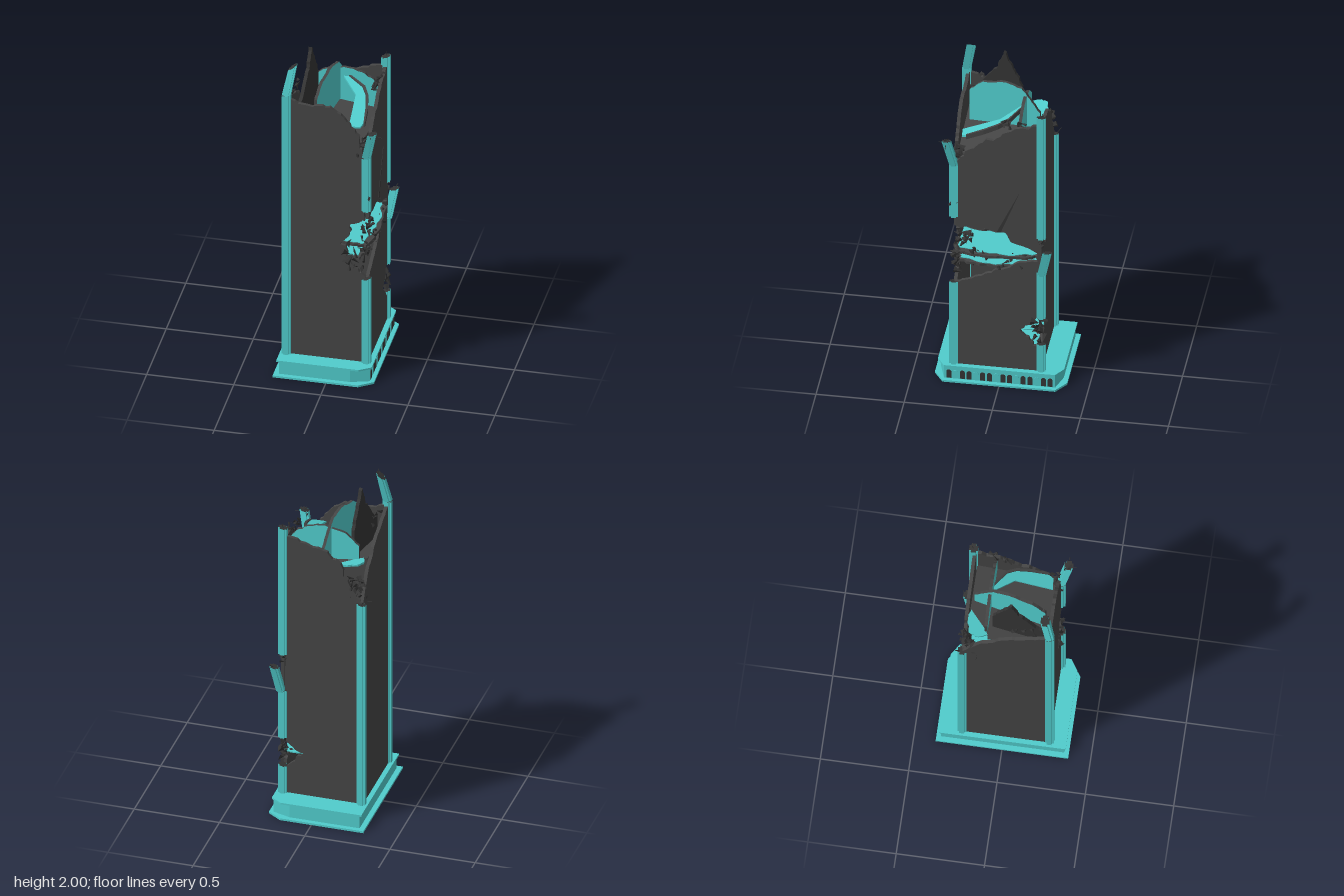
import * as THREE from 'three';

const mat = (name, color) => {
  const m = new THREE.MeshStandardMaterial({ color, side: THREE.DoubleSide, flatShading: true });
  m.name = name;
  return m;
};

export function createModel() {
  const teal = mat('teal', 0x50cccc);
  const dark = mat('charcoal', 0x454545);
  const soot = mat('soot', 0x343434);
  const root = new THREE.Group();
  let seed = 7;
  const rnd = () => ((seed = (seed * 16807) % 2147483647) / 2147483647);
  const jit = a => (rnd() - 0.5) * 2 * a;

  const add = (name, geo, material, parent = root) => {
    const m = new THREE.Mesh(geo, material);
    m.name = name;
    parent.add(m);
    return m;
  };
  const toShape = pts => new THREE.Shape(pts.map(p => new THREE.Vector2(p[0], p[1])));
  // Broken edge: splits every span of a line and jitters the new points
  const torn = (pts, amp = 0.012, n = 4) => pts.flatMap((p, i) => {
    const q = pts[i + 1];
    if (!q) return [p];
    return Array.from({ length: n }, (_, k) => k === 0 ? p : [
      p[0] + (q[0] - p[0]) * k / n + jit(amp), p[1] + (q[1] - p[1]) * k / n + jit(amp)]);
  });
  // Upright plate running from a to b in (x, z); outline is (distance, y)
  const plate = (name, pts, a, angle, thick, material) => {
    const g = new THREE.ExtrudeGeometry(toShape(pts), { depth: thick, bevelEnabled: false });
    g.rotateY(-angle).translate(a[0], 0, a[1]);
    return add(name, g, material);
  };
  // Flat slab from an (x, z) outline
  const slab = (name, pts, y0, y1, material, hole) => {
    const s = toShape(pts.map(p => [p[0], -p[1]]));
    if (hole) s.holes.push(new THREE.Path(hole.map(p => new THREE.Vector2(p[0], -p[1]))));
    const g = new THREE.ExtrudeGeometry(s, { depth: y1 - y0, bevelEnabled: false });
    return add(name, g.rotateX(-Math.PI / 2).translate(0, y0, 0), material);
  };

  // Base with two cut corners and a hollow underside
  const outline = (x0, x1, z, cx, cz) => [[x0, -z], [cx, -z], [x1, -cz], [x1, cz], [cx, z], [x0, z]];
  const recess = [[-0.22, -0.28], [0.18, -0.28], [0.18, 0.28], [-0.22, 0.28]];
  const body = outline(-0.275, 0.24, 0.348, 0.135, 0.315);
  slab('basePlate', outline(-0.305, 0.265, 0.375, 0.185, 0.32), 0, 0.012, teal, recess);
  slab('baseLower', body, 0.012, 0.04, teal, recess);
  slab('baseBody', body, 0.04, 0.093, teal);
  slab('baseCap', outline(-0.288, 0.25, 0.358, 0.185, 0.315), 0.093, 0.103, teal);
  // Arched openings along the right side of the base
  for (let i = 0; i < 16; i++) {
    const s = new THREE.Shape();
    s.moveTo(-0.014, 0.016).lineTo(0.014, 0.016).lineTo(0.014, 0.056);
    s.absarc(0, 0.056, 0.014, 0, Math.PI, false);
    const g = new THREE.ExtrudeGeometry(s, { depth: 0.006, bevelEnabled: false, curveSegments: 6 });
    g.rotateY(Math.PI / 2).translate(0.237, 0, -0.287 + i * 0.0383);
    add('archOpening', g, i % 3 === 2 ? teal : soot);
  }

  // Outer walls with torn edges
  const wall = (name, low, edge, a, angle) => plate(name, [...low, ...torn(edge)], a, angle, 0.02, dark);
  wall('frontWall', [[-0.25, 0.1], [0.2, 0.1]], [
    [0.205, 0.66], [0.14, 0.72], [0.09, 0.76], [0.1, 0.82], [0.06, 0.87], [0.11, 0.92],
    [0.12, 1.0], [0.2, 1.03], [0.205, 1.45], [0.17, 1.5], [0.17, 1.58], [0.12, 1.63],
    [0.07, 1.7], [0, 1.75], [-0.1, 1.74], [-0.25, 1.78]], [0, 0.245], 0);
  wall('backWall', [[-0.25, 0.1], [0.2, 0.1]], [
    [0.2, 0.27], [0.14, 0.31], [0.09, 0.37], [0.15, 0.4], [0.2, 0.46], [0.205, 1.76],
    [0.11, 1.74], [-0.02, 1.71], [-0.1, 1.66], [-0.17, 1.54], [-0.21, 1.47], [-0.245, 1.41]], [0, -0.235], 0);
  wall('leftWall', [[-0.23, 0.1], [0.26, 0.1]], [
    [0.26, 1.78], [0.15, 1.74], [0, 1.67], [-0.12, 1.58], [-0.19, 1.48], [-0.23, 1.41]], [-0.24, 0], Math.PI / 2);
  wall('rightWall', [[0.26, 0.66], [0.26, 0.1], [-0.22, 0.1]], [
    [-0.22, 0.26], [-0.17, 0.3], [-0.11, 0.37], [-0.18, 0.41], [-0.225, 0.47], [-0.225, 1.76],
    [-0.08, 1.73], [0, 1.67], [0.1, 1.62], [0.2, 1.55], [0.255, 1.46], [0.255, 1.04],
    [0.13, 1.03], [-0.03, 1.02], [-0.06, 0.96], [-0.21, 0.9], [-0.21, 0.84], [-0.08, 0.81],
    [0.05, 0.74], [0.16, 0.69], [0.26, 0.66]], [0.22, 0], Math.PI / 2);
  // Long crack in the right wall
  plate('wallCrack', [[0.02, 1.02], [-0.003, 1.02], [-0.11, 1.3]], [0.223, 0], Math.PI / 2, 0.004, soot);

  // Corner pillars with a cross section; a lean shifts the upper end
  const a = 0.025, b = 0.014;
  const cross = [[b, a], [b, b], [a, b], [a, -b], [b, -b], [b, -a],
    [-b, -a], [-b, -b], [-a, -b], [-a, b], [-b, b], [-b, a]].reverse();
  const pillar = (name, x, z, y0, y1, dx = 0, dz = 0) => {
    const m = slab(name, cross, y0, y1, [soot, teal]);
    const p = m.geometry.attributes.position;
    for (let i = 0; i < p.count; i++) {
      const t = (p.getY(i) - y0) / (y1 - y0);
      const ragged = y1 < 1.9 && y1 > 0.12 ? t * 0.25 * p.getX(i) : t * 0.8 * p.getX(i);
      p.setXYZ(i, x + p.getX(i) + dx * t, p.getY(i) + ragged, z + p.getZ(i) + dz * t);
    }
    m.geometry.computeVertexNormals();
  };
  const XL = -0.25, XR = 0.21, ZF = 0.263, ZB = -0.232;
  [
    ['frontLeftPillar', XL, ZF, 0.1, 1.8], ['frontLeftPillarTop', XL, ZF, 1.8, 1.97, 0.03, -0.03],
    ['backLeftPillar', XL, ZB, 0.1, 1.4],
    ['backRightPillarFoot', XR, ZB, 0.1, 0.28], ['backRightPillarMiddle', XR, ZB, 0.46, 0.77],
    ['backRightPillarBent', XR + 0.01, ZB - 0.005, 0.76, 0.93, 0.03, -0.035], ['backRightPillarTop', XR, ZB, 1.0, 1.82],
    ['frontRightPillarFoot', XR, ZF, 0.1, 0.655], ['frontRightPillarMiddle', XR, ZF, 1.1, 1.45],
    ['frontRightPillarBent', XR, ZF, 1.45, 1.63, 0.04, 0.038]
  ].forEach(p => pillar(...p));

  // Storey floors bared by the holes: dark slab with a teal surface
  const floor = (y, x1, z1, under) => {
    const pts = grow => [[-0.24, -0.21], [x1 - 0.05, -0.21], ...torn([
      [x1 - 0.02 + grow, -0.18], [x1 + grow, 0], [x1 + grow, 0.12],
      [x1 - 0.03 + grow, z1 + grow], [x1 - 0.1, z1 + grow]], 0.012), [0.04, 0.243], [-0.24, 0.243]];
    slab('floorSlab', pts(0), y - 0.016, y, dark);
    slab('floorSurface', pts(-0.014), y, y + 0.004, teal);
    if (under) slab('floorUnderside', pts(-0.014), y - 0.02, y - 0.016, teal);
  };
  floor(0.78, 0.2, 0.25);
  floor(0.87, 0.235, 0.262);
  floor(1.03, 0.21, 0.25, true);
  slab('lowerFloor', torn([[0.05, -0.18], [0.05, -0.23], [0.17, -0.235], [0.205, -0.22],
    [0.21, -0.13], [0.1, -0.12]], 0.006), 0.365, 0.372, teal);

  // Sagging top storey, split along the torn rear corner
  const sag = (m, lift) => {
    const p = m.geometry.attributes.position;
    for (let i = 0; i < p.count; i++)
      p.setY(i, p.getY(i) + lift - 0.133 * (p.getX(i) + p.getZ(i) + 0.45));
    m.geometry.computeVertexNormals();
  };
  sag(slab('topFloor', [[-0.24, -0.09], [-0.2, -0.1], [-0.08, -0.21], [0.2, -0.21],
    [0.2, 0.2], [0.15, 0.245], [-0.24, 0.245]], 0, 0.012, dark), 1.62);
  sag(slab('topFloorCorner', torn([[-0.2, -0.1], [-0.22, -0.09], [-0.24, -0.14], [-0.22, -0.2],
    [-0.14, -0.215], [-0.08, -0.205]], 0.008), 0, 0.012, teal), 1.625);

  // Bent floor strip that slopes down towards the front
  const tilt = (m, y0) => {
    const p = m.geometry.attributes.position;
    for (let i = 0; i < p.count; i++) p.setY(i, p.getY(i) + y0 - 0.4 * (p.getZ(i) + 0.09));
    m.geometry.computeVertexNormals();
  };
  tilt(slab('bentStrip', [[0, -0.09], [0.03, -0.09], [0.12, -0.03], [0.15, 0.02], [0.167, 0.1],
    [0.178, 0.2], [0.165, 0.225], [0.1, 0.232], [0.093, 0.02]], 0, 0.012, teal), 1.735);
  tilt(slab('stripEdge', [[0.03, -0.09], [0.045, -0.09], [0.135, -0.035], [0.165, 0.02], [0.182, 0.1],
    [0.187, 0.2], [0.178, 0.2], [0.167, 0.1], [0.15, 0.02], [0.12, -0.03]], -0.01, 0.02, dark), 1.735);

  // Broken partitions: teal faces, dark edges
  plate('longPartition', [[0.02, 1.6], [0.44, 1.56], ...torn([[0.44, 1.76], [0.41, 1.79], [0.36, 1.835],
    [0.22, 1.86], [0.13, 1.84], [0.08, 1.78], [0.02, 1.7]], 0.005)],
  [0, -0.21], Math.atan2(0.44, -0.085), 0.018, [teal, dark]);
  plate('crossPartition', [[-0.2, 1.6], [0.2, 1.56], ...torn([[0.2, 1.69], [0.17, 1.74], [0.1, 1.78],
    [0, 1.8], [-0.12, 1.77], [-0.2, 1.7]], 0.005)], [0, -0.114], 0, 0.018, [teal, dark]);
  plate('shardPartition', [[0, 1.6], [0.31, 1.58], ...torn([[0.31, 1.72], [0.25, 1.75], [0.2, 1.82],
    [0.15, 1.87], [0.13, 1.93], [0.11, 1.99], [0.09, 1.95], [0.06, 1.9], [0.04, 1.85], [0, 1.77]], 0.006, 3)],
  [-0.14, -0.07], Math.atan2(0.31, -0.04), 0.02, soot);

  // Jagged debris around every break: centre, spread, count, size
  [
    [0.15, 0.8, 0.255, 0.06, 0.09, 0.015, 22, 0.03], [0.2, 0.95, 0.2, 0.03, 0.07, 0.05, 12, 0.028],
    [0.215, 0.83, 0.02, 0.012, 0.06, 0.16, 14, 0.022], [0.2, 0.37, -0.22, 0.03, 0.07, 0.03, 16, 0.032],
    [0.21, 0.97, -0.235, 0.012, 0.02, 0.015, 7, 0.024], [-0.24, 1.47, -0.2, 0.01, 0.06, 0.03, 10, 0.03],
    [-0.21, 1.5, -0.225, 0.03, 0.06, 0.01, 10, 0.03], [0.19, 1.52, 0.24, 0.03, 0.06, 0.02, 12, 0.03],
    [0.21, 1.16, 0.255, 0.012, 0.08, 0.015, 7, 0.03], [0.2, 1.75, -0.1, 0.015, 0.025, 0.08, 9, 0.024],
    [-0.23, 1.77, 0.1, 0.015, 0.02, 0.1, 6, 0.02], [0.24, 1.62, 0.295, 0.015, 0.015, 0.012, 4, 0.022]
  ].forEach(([x, y, z, sx, sy, sz, n, r]) => {
    const g = new THREE.Group();
    g.name = 'debris';
    root.add(g);
    for (let i = 0; i < n; i++) {
      const m = add('shard', new THREE.ConeGeometry(r * (0.4 + 0.4 * rnd()), r * (1 + rnd()), 4), soot, g);
      m.position.set(x + jit(sx), y + jit(sy), z + jit(sz));
      m.rotation.set(jit(3), jit(3), jit(3));
      m.scale.z = 0.5;
    }
  });

  // Bare reinforcement rods at the broken ends
  [
    [-0.22, 1.96, 0.23, 0.02, 0.04, 0.02], [0.25, 1.62, 0.3, 0.055, -0.01, 0], [0.24, 1.61, 0.3, 0.01, 0.01, 0.045],
    [0.245, 0.92, -0.27, 0.02, 0.03, -0.03], [-0.25, 1.37, -0.15, -0.035, 0.005, 0], [-0.25, 1.39, -0.24, -0.02, 0.04, -0.03],
    [0.21, 1.8, -0.23, 0, 0.045, -0.01], [0.22, 0.87, 0.2, 0.04, 0.005, 0.02]
  ].forEach(([x, y, z, dx, dy, dz]) => {
    const p = new THREE.Vector3(x, y, z), d = new THREE.Vector3(dx, dy, dz);
    add('rod', new THREE.TubeGeometry(new THREE.LineCurve3(p, p.clone().add(d)), 1, 0.002, 4), soot);
  });
  return root;
}
